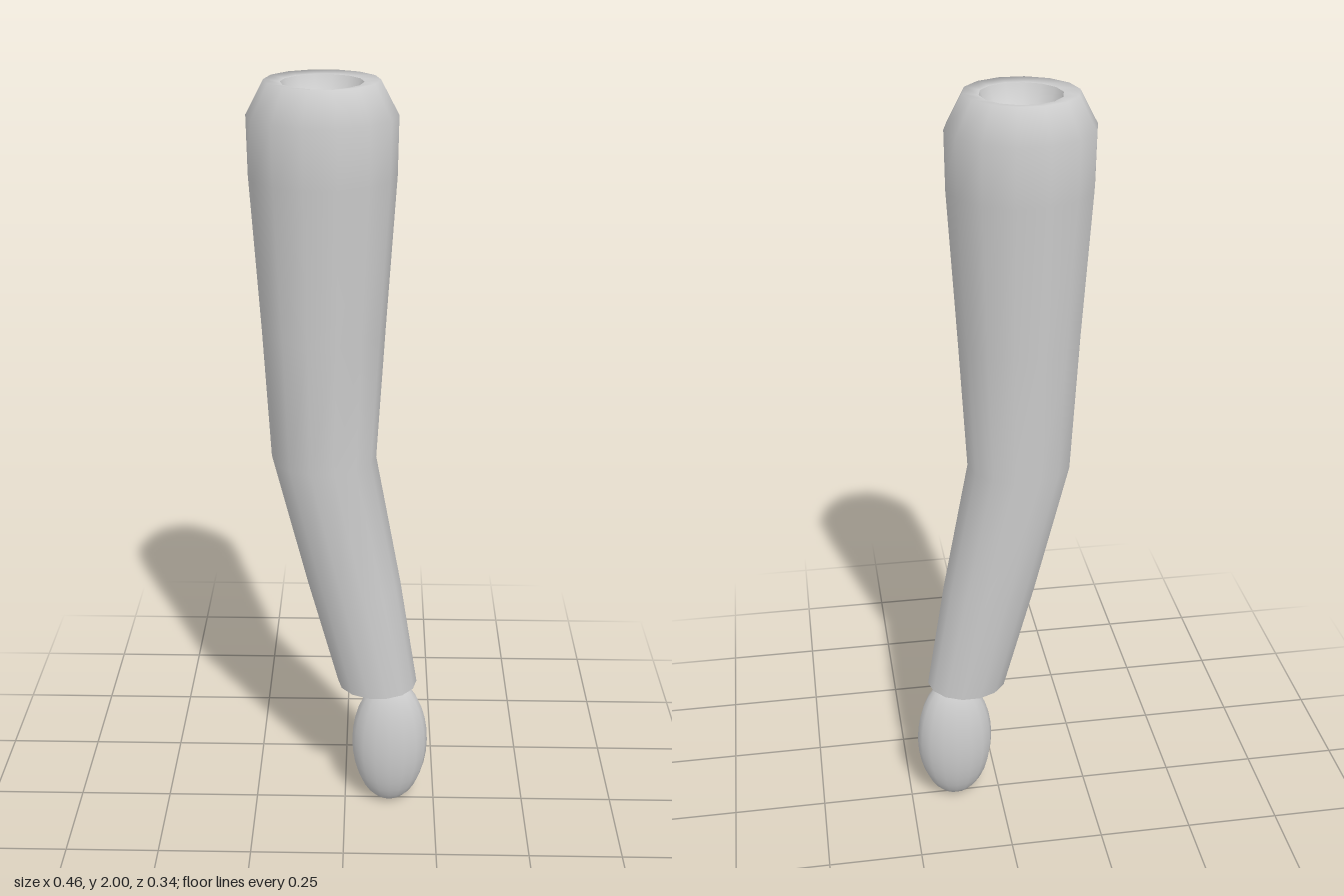
import * as THREE from 'three';
import { mergeVertices } from 'three/addons/utils/BufferGeometryUtils.js';

const SIDES = 14;

// Smooth skin through level elliptical rings: [y, centreX, radiusX, radiusZ]
function loft(rings) {
  const positions = [], index = [];
  for (const [y, cx, rx, rz] of rings) {
    for (let j = 0; j < SIDES; j++) {
      const a = (j / SIDES) * Math.PI * 2;
      positions.push(cx + rx * Math.cos(a), y, rz * Math.sin(a));
    }
  }
  for (let i = 0; i < rings.length - 1; i++) {
    for (let j = 0; j < SIDES; j++) {
      const k = (j + 1) % SIDES;
      const a = i * SIDES + j, b = i * SIDES + k;
      const c = a + SIDES, d = b + SIDES;
      index.push(a, c, b, b, c, d);
    }
  }
  let geometry = new THREE.BufferGeometry();
  geometry.setAttribute('position', new THREE.Float32BufferAttribute(positions, 3));
  geometry.setIndex(index);
  geometry = mergeVertices(geometry, 1e-5);
  geometry.computeVertexNormals();
  return geometry;
}

export function createModel() {
  const group = new THREE.Group();
  group.name = 'arm';
  const grey = new THREE.MeshStandardMaterial({ color: 0xcccccc });
  grey.name = 'light grey';

  const add = (name, geometry) => {
    const mesh = new THREE.Mesh(geometry, grey);
    mesh.name = name;
    group.add(mesh);
    return mesh;
  };

  // Bent sleeve, from cuff to shoulder rim
  add('sleeve', loft([
    [0.39, 0.088, 0.107, 0.095],
    [0.7, 0.023, 0.123, 0.113],
    [1.06, -0.054, 0.133, 0.125],
    [1.4, -0.053, 0.152, 0.14],
    [1.78, -0.053, 0.176, 0.166],
    [1.92, -0.053, 0.178, 0.172],
    [2.0, -0.053, 0.135, 0.137],
    [1.995, -0.053, 0.097, 0.102],
  ]));

  // Hollow socket in the shoulder end
  add('shoulderSocket', loft([
    [1.995, -0.053, 0.097, 0.102],
    [1.955, -0.053, 0.08, 0.084],
    [1.935, -0.053, 0.045, 0.047],
    [1.93, -0.053, 0, 0],
  ]));

  // Hollow underside of the cuff
  add('cuffSocket', loft([
    [0.45, 0.08, 0, 0],
    [0.44, 0.08, 0.05, 0.045],
    [0.415, 0.084, 0.085, 0.075],
    [0.39, 0.088, 0.107, 0.095],
  ]));

  // Flattened oval hand
  const hand = add('hand', new THREE.SphereGeometry(1, 16, 16));
  hand.scale.set(0.104, 0.196, 0.071);
  hand.position.set(0.124, 0.196, 0);

  return group;
}
